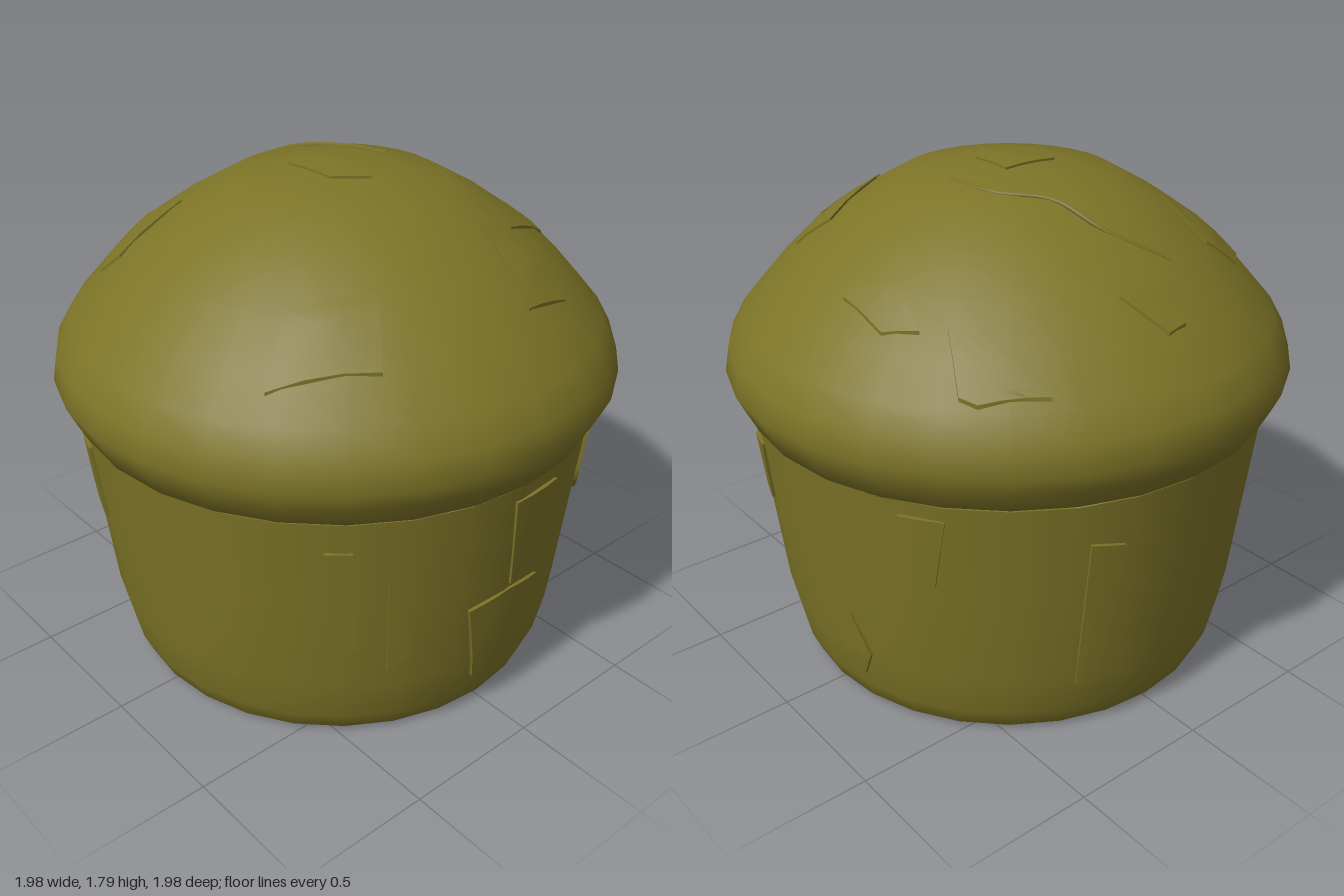
import * as THREE from 'three';
import { toCreasedNormals } from 'three/addons/utils/BufferGeometryUtils.js';

const SEGMENTS = 28;
// Profiles as [radius, height], bottom to top
const CUP = [[0.745, 0.005], [0.77, 0.02], [0.8, 0.09], [0.835, 0.25], [0.875, 0.6], [0.915, 0.95]];
const CROWN = [[0.87, 0.94], [0.925, 0.96], [0.96, 1.03], [0.992, 1.1], [0.975, 1.19], [0.925, 1.28], [0.82, 1.4],
  [0.69, 1.53], [0.54, 1.635], [0.365, 1.735], [0.18, 1.77], [0, 1.79]];

// Linear lookup in a profile: from column a to column b
function lookup(profile, value, a, b) {
  for (let i = 1; i < profile.length; i++) {
    const p = profile[i - 1], q = profile[i];
    if ((value - p[a]) * (value - q[a]) <= 0 && p[a] !== q[a]) {
      return p[b] + (q[b] - p[b]) * (value - p[a]) / (q[a] - p[a]);
    }
  }
  return profile[profile.length - 1][b];
}

// Crown surface from plan coordinates (x, -z)
const crownUpper = CROWN.slice(3);
function onCrown(u, v, lift) {
  const r = Math.min(Math.hypot(u, v), 0.99);
  return new THREE.Vector3(u, lookup(crownUpper, r, 0, 1) + lift, -v);
}

// Cup surface from angle (0 = front) and height
function onCup(angle, y, lift) {
  const r = lookup(CUP, y, 1, 0) + lift;
  return new THREE.Vector3(Math.sin(angle) * r, y, Math.cos(angle) * r);
}

// Thin raised flake following a surface, fanned in rings from its centre
function flake(outline, surface, lift = 0.008) {
  const corners = outline.map(([u, v]) => new THREE.Vector2(u, v));
  if (THREE.ShapeUtils.area(corners) < 0) corners.reverse();
  const centre = corners.reduce((s, c) => s.add(c), new THREE.Vector2()).divideScalar(corners.length);
  const rim = [];
  corners.forEach((c, i) => {
    for (let k = 0; k < 3; k++) rim.push(c.clone().lerp(corners[(i + 1) % corners.length], k / 3));
  });
  const at = (p, t, h) => {
    const q = centre.clone().lerp(p, t);
    return surface(q.x, q.y, h);
  };
  const points = [];
  rim.forEach((p, i) => {
    const n = rim[(i + 1) % rim.length];
    for (let k = 0; k < 3; k++) {
      const a = at(p, k / 3, lift), b = at(p, (k + 1) / 3, lift);
      const c = at(n, (k + 1) / 3, lift), d = at(n, k / 3, lift);
      points.push(a, b, c);
      if (k > 0) points.push(a, c, d);
    }
    // Edge wall
    const a = at(p, 1, lift), b = at(n, 1, lift), c = at(n, 1, -0.015), d = at(p, 1, -0.015);
    points.push(a, d, c, a, c, b);
  });
  return toCreasedNormals(new THREE.BufferGeometry().setFromPoints(points), 0.7);
}

export function createModel() {
  const group = new THREE.Group();
  const crumb = new THREE.MeshStandardMaterial({ color: 0x7d7427 });
  crumb.name = 'olive crumb';
  crumb.side = THREE.DoubleSide;

  const add = (name, geometry) => {
    const mesh = new THREE.Mesh(geometry, crumb);
    mesh.name = name;
    group.add(mesh);
    return mesh;
  };
  const lathe = profile => new THREE.LatheGeometry(profile.map(p => new THREE.Vector2(...p)), SEGMENTS);

  // Tapered cup, flat underside and overhanging crown
  add('cup', lathe(CUP));
  const base = add('base', new THREE.CircleGeometry(0.75, SEGMENTS));
  base.rotation.x = Math.PI / 2;
  base.position.y = 0.002;
  add('crown', lathe(CROWN));

  // Crust flakes on the crown, as [x, z] outlines
  const crust = [
    [[-0.12, -0.1], [0.09, -0.1], [0.09, 0.06], [0, 0.18], [-0.11, 0.1]],
    [[-0.12, -0.72], [-0.05, -0.8], [0.03, -0.81], [0.13, -0.69], [0.03, -0.65]],
    [[-0.65, -0.47], [-0.53, -0.57], [-0.4, -0.55], [-0.4, -0.33], [-0.62, -0.39]],
    [[0.46, -0.77], [0.64, -0.65], [0.67, -0.6], [0.6, -0.46], [0.54, -0.62]],
    [[0.66, -0.4], [0.73, -0.3], [0.73, -0.1], [0.62, -0.2]],
    [[-0.7, 0.5], [-0.55, 0.41], [-0.31, 0.55], [-0.42, 0.7]],
    [[0.2, 0.48], [0.38, 0.6], [0.36, 0.72], [0.15, 0.75]],
    [[0.28, 0.38], [0.52, 0.3], [0.6, 0.4], [0.35, 0.48]],
  ];
  crust.forEach(o => add('crustFlake', flake(o.map(([x, z]) => [x, -z]), onCrown)));

  // Crack running over the top
  const path = [[-0.15, -0.63], [0.02, -0.5], [0.1, -0.35], [0.22, -0.2], [0.25, -0.02]];
  const curve = new THREE.CatmullRomCurve3(path.map(([x, z]) => onCrown(x, -z, 0)));
  add('crownCrack', new THREE.TubeGeometry(curve, 20, 0.008, 5));

  // Wrapper folds on the cup, as [angle, height] outlines
  const folds = [
    [[-0.03, 0.9], [0.2, 0.9], [0.19, 0.56], [0.02, 0.54]],
    [[-0.18, 0.5], [-0.1, 0.16], [0.19, 0.14], [0.2, 0.5], [0.02, 0.52]],
    [[-0.75, 0.84], [-0.65, 0.84], [-0.62, 0.42], [-0.71, 0.43]],
    [[-0.52, 0.7], [-0.4, 0.38], [-0.51, 0.32]],
    [[0.55, 0.9], [0.74, 0.9], [0.66, 0.62], [0.57, 0.7]],
    [[1.22, 0.9], [1.33, 0.9], [1.29, 0.67], [1.23, 0.7]],
    [[1.8, 0.42], [1.88, 0.26], [1.82, 0.15], [1.74, 0.25]],
    [[2.08, 0.9], [2.25, 0.9], [2.2, 0.64], [2.1, 0.7]],
    [[-2.0, 0.9], [-1.86, 0.9], [-1.84, 0.62], [-1.95, 0.68]],
    [[2.75, 0.8], [2.88, 0.78], [2.84, 0.2], [2.73, 0.22]],
  ];
  folds.forEach(o => add('wrapperFold', flake(o, onCup)));
  return group;
}
